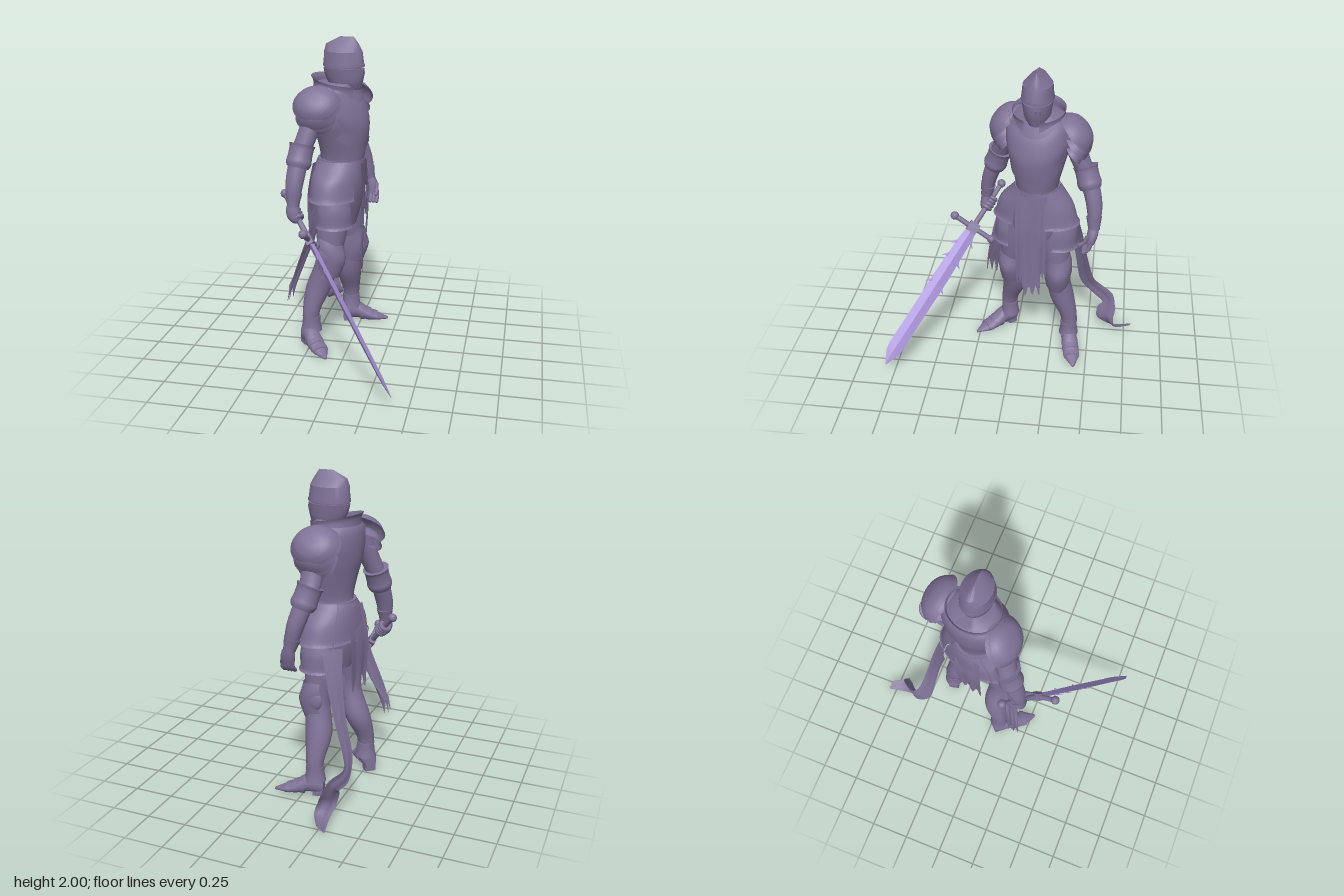
import * as THREE from 'three';
import { toCreasedNormals } from 'three/addons/utils/BufferGeometryUtils.js';

const armor = new THREE.MeshStandardMaterial({ color: 0x7f7297, side: THREE.DoubleSide });
armor.name = 'dull violet steel';
const bladeMat = new THREE.MeshStandardMaterial({ color: 0xa892d8, side: THREE.DoubleSide });
bladeMat.name = 'pale violet blade';

// Catmull-Rom resampling of rows of numbers
function resample(rows, n) {
  if (n < 2) return rows;
  const out = [], at = i => rows[Math.min(rows.length - 1, Math.max(0, i))];
  for (let i = 0; i < rows.length - 1; i++) {
    for (let k = 0; k < n; k++) {
      const t = k / n, [a, b, c, d] = [at(i - 1), at(i), at(i + 1), at(i + 2)];
      out.push(b.map((_, m) => 0.5 * (2 * b[m] + (c[m] - a[m]) * t + (2 * a[m] - 5 * b[m] + 4 * c[m] - d[m]) * t * t
        + (3 * b[m] - a[m] - 3 * c[m] + d[m]) * t * t * t)));
    }
  }
  out.push(at(rows.length - 1));
  return out;
}

// Surface through a grid of points
function gridMesh(name, rows, mat, crease = 0.8) {
  const pos = [], idx = [], w = rows[0].length;
  rows.forEach(r => r.forEach(p => pos.push(...p)));
  for (let i = 0; i < rows.length - 1; i++) {
    for (let j = 0; j < w - 1; j++) {
      const a = i * w + j, b = a + w;
      idx.push(a, b, a + 1, b, b + 1, a + 1);
    }
  }
  const g = new THREE.BufferGeometry();
  g.setAttribute('position', new THREE.Float32BufferAttribute(pos, 3));
  g.setIndex(idx);
  const mesh = new THREE.Mesh(toCreasedNormals(g, crease), mat);
  mesh.name = name;
  return mesh;
}

// Stacked elliptical rings; each station is [x, y, z, radiusX, radiusZ]; lift raises the rear of each ring
function loft(name, stations, { yaw = 0, arc = null, seg = 32, smooth = 4, point = 1, lift = 0, mat = armor, crease = 0.8 } = {}) {
  let st = stations[0][1] > stations[stations.length - 1][1] ? [...stations].reverse() : stations;
  st = resample(st, smooth);
  if (!arc) {
    const [lo, hi] = [st[0], st[st.length - 1]];
    st = [[lo[0], lo[1], lo[2], 0, 0], ...st, [hi[0], hi[1], hi[2], 0, 0]];
  }
  const [a0, a1] = arc || [0, Math.PI * 2], c = Math.cos(yaw), s = Math.sin(yaw);
  const rows = st.map(([x, y, z, rx, rz]) => Array.from({ length: seg + 1 }, (_, j) => {
    const t = a0 + (a1 - a0) * j / seg, sn = Math.sin(t);
    const u = rx * Math.cos(t), v = rz * Math.sign(sn) * Math.abs(sn) ** point;
    return [x + u * c - v * s, y + lift * (1 - Math.cos(t)) / 2, z + u * s + v * c];
  }));
  return gridMesh(name, rows, mat, crease);
}

// Cloth strip; each row is [x, y, z, halfX, halfY, halfZ]; torn lower edge
function ribbon(name, rows, tear = 0) {
  const n = 12, st = resample(rows, 5);
  return gridMesh(name, st.map((r, i) => Array.from({ length: n + 1 }, (_, j) => {
    const k = j / n * 2 - 1, f = i / (st.length - 1);
    const drop = tear * f ** 5 * (0.5 + 0.5 * Math.sin(j * 1.35 + 1)), fold = 0.004 * Math.sin(j * 0.9) * f;
    return [r[0] + k * r[3] + fold, r[1] + k * r[4] - drop, r[2] + k * r[5]];
  })), armor);
}

function basis(group, X, Y, origin) {
  const x = new THREE.Vector3(...X).normalize(), y = new THREE.Vector3(...Y).normalize();
  x.addScaledVector(y, -x.dot(y)).normalize();
  group.setRotationFromMatrix(new THREE.Matrix4().makeBasis(x, y, x.clone().cross(y)));
  group.position.set(...origin);
  return group;
}

function named(name, geo, mat, x, y, z) {
  const m = new THREE.Mesh(geo, mat);
  m.name = name;
  m.position.set(x, y, z);
  return m;
}

// Pauldron: a flat sloping cap with a flared lip and smaller lames beneath its outer edge
function pauldron(pos, side) {
  const g = new THREE.Group();
  g.name = 'pauldron';
  const cap = (name, y, z, rx, rz, h) => loft(name, [[0, y + h, z, 0, 0], [0, y + h * 0.92, z, rx * 0.4, rz * 0.4],
    [0, y + h * 0.62, z, rx * 0.74, rz * 0.74], [0, y + h * 0.2, z, rx * 0.94, rz * 0.94], [0, y, z, rx, rz], [0, y - 0.016, z, rx * 1.08, rz * 1.08]], { arc: [0, Math.PI * 2] });
  g.add(cap('shoulderPlate', 0, 0, 0.142, 0.128, 0.068), cap('shoulderLame', -0.05, 0.06 * side, 0.125, 0.095, 0.085), cap('armLame', -0.09, 0.09 * side, 0.105, 0.075, 0.08));
  g.position.set(...pos);
  g.rotation.x = 0.85 * side;
  return g;
}

// Armoured foot pointing along f
function foot(origin, f) {
  const g = new THREE.Group();
  g.name = 'sabaton';
  g.add(loft('shoe', [[0, 0, 0.06, 0.035, 0.05], [0, 0.04, 0.075, 0.05, 0.062], [0, 0.1, 0.075, 0.052, 0.06], [0, 0.17, 0.045, 0.056, 0.043],
    [0, 0.24, 0.024, 0.045, 0.024], [0, 0.315, 0.008, 0.008, 0.008]]));
  g.add(named('heel', new THREE.BoxGeometry(0.07, 0.06, 0.06), armor, 0, 0.035, 0.03));
  for (const y of [0.12, 0.165, 0.21]) {
    const h = (0.315 - y) * 0.31;
    g.add(loft('footLame', [[0, y, h, 0.056, h], [0, y + 0.03, h * 0.85, 0.052, h * 0.85]], { smooth: 1 }));
  }
  return basis(g, [-f[1], 0, f[0]], [f[0], 0, f[1]], origin);
}

export function createModel() {
  const model = new THREE.Group();
  model.name = 'knight';
  const add = (...m) => model.add(...m);
  const yaw = 0.24, hy = 0.06;

  // Helmet: keeled skull, recessed eye slit, pointed visor
  add(loft('helmetSkull', [[-0.07, 1.825, -0.135, 0.13, 0.098], [-0.073, 1.91, -0.135, 0.122, 0.09], [-0.078, 1.955, -0.135, 0.105, 0.048],
    [-0.05, 2, -0.135, 0.045, 0.003]], { yaw: hy, point: 1.1, smooth: 1, crease: 0.5 }));
  add(loft('eyeSlit', [[-0.075, 1.79, -0.135, 0.117, 0.086], [-0.075, 1.84, -0.135, 0.117, 0.088]], { yaw: hy, smooth: 1 }));
  add(loft('visor', [[-0.05, 1.675, -0.135, 0.085, 0.055], [-0.06, 1.715, -0.135, 0.108, 0.078], [-0.065, 1.76, -0.135, 0.124, 0.087], [-0.07, 1.808, -0.135, 0.13, 0.094]], { yaw: hy, point: 1.12 }));
  add(loft('helmetBrow', [[-0.07, 1.82, -0.135, 0.133, 0.1], [-0.07, 1.836, -0.135, 0.132, 0.099]], { yaw: hy, point: 1.1, smooth: 1 }));
  for (const k of [-2, -1, 0, 1, 2]) {
    const rib = named('visorRib', new THREE.CylinderGeometry(0.006, 0.004, 0.1, 8), armor, 0.05 - 0.007 * k * k, 1.74, -0.135 + k * 0.022);
    rib.rotation.z = -0.2;
    add(rib);
  }

  // Torso: cuirass, V-edged breastplate, flared collar, belt and pelvis
  add(loft('cuirass', [[-0.09, 1.18, -0.14, 0.14, 0.13], [-0.08, 1.26, -0.14, 0.143, 0.135], [-0.085, 1.38, -0.14, 0.16, 0.165], [-0.095, 1.48, -0.14, 0.172, 0.192],
    [-0.11, 1.58, -0.145, 0.165, 0.21], [-0.125, 1.67, -0.145, 0.145, 0.19], [-0.12, 1.72, -0.14, 0.12, 0.12]], { yaw, seg: 48 }));
  add(loft('breastplate', [[-0.08, 1.31, -0.14, 0.156, 0.168], [-0.082, 1.38, -0.14, 0.168, 0.178], [-0.09, 1.47, -0.14, 0.178, 0.198],
    [-0.105, 1.57, -0.14, 0.166, 0.2], [-0.11, 1.63, -0.14, 0.14, 0.185]], { yaw, arc: [-1.4, 1.4], lift: 0.2 }));
  add(loft('collar', [[-0.11, 1.61, -0.14, 0.15, 0.175], [-0.115, 1.67, -0.14, 0.145, 0.16], [-0.12, 1.7, -0.14, 0.155, 0.165]], { yaw, arc: [0.3, 5.98], lift: 0.065 }));
  add(loft('belt', [[-0.09, 1.19, -0.14, 0.154, 0.146], [-0.09, 1.235, -0.14, 0.152, 0.142]], { yaw, smooth: 1 }));
  add(loft('pelvis', [[-0.1, 0.8, -0.135, 0.11, 0.1], [-0.1, 0.95, -0.135, 0.14, 0.2], [-0.09, 1.1, -0.135, 0.145, 0.18], [-0.09, 1.21, -0.14, 0.14, 0.135]], { yaw }));

  // Hip plates in two tiers on each side and one behind
  for (const [a, b] of [[0.4, 2.4], [-2.4, -0.4], [2.45, 3.85]]) {
    add(loft('upperTasset', [[-0.1, 0.99, -0.135, 0.174, 0.288], [-0.1, 1.01, -0.135, 0.168, 0.272], [-0.1, 1.11, -0.135, 0.163, 0.24],
      [-0.095, 1.19, -0.14, 0.158, 0.175], [-0.09, 1.23, -0.14, 0.15, 0.145]], { yaw, arc: [a, b] }));
  }
  for (const s of [1, -1]) {
    const z = s > 0 ? 0.005 : -0.28, x = s > 0 ? -0.105 : -0.07;
    add(loft('lowerTasset', [[x, 0.82, z, 0.128, 0.136], [x, 0.84, z, 0.12, 0.126], [x, 0.93, z, 0.12, 0.122], [x, 1.01, z, 0.1, 0.1]],
      { yaw, arc: s > 0 ? [0, 2.6] : [-2.6, 0] }));
  }

  // Right arm and left arm, each guard set square to its forearm
  add(pauldron([-0.195, 1.618, 0.078], 1), pauldron([-0.08, 1.612, -0.38], -1));
  const arms = [
    [[-0.19, 1.6, 0.04], [-0.25, 1.42, 0.1], [-0.285, 1.31, 0.135], [-0.31, 1.14, 0.195], [-0.315, 1.0, 0.22]],
    [[-0.07, 1.6, -0.34], [-0.07, 1.42, -0.405], [-0.06, 1.33, -0.45], [-0.01, 1.16, -0.5], [0.03, 1.0, -0.508]]];
  for (const [sh, up, el, fo, wr] of arms) {
    add(loft('arm', [[...sh, 0.07, 0.07], [...up, 0.066, 0.062], [...el, 0.062, 0.06], [...fo, 0.056, 0.051], [...wr, 0.036, 0.034]]));
    const along = el.map((v, i) => v - fo[i]);
    const guard = loft('elbowGuard', [[0, -0.085, 0, 0.068, 0.066], [0, -0.055, 0, 0.08, 0.076], [0, -0.02, 0, 0.076, 0.072], [0, 0.035, 0, 0.076, 0.072], [0, 0.058, 0, 0.083, 0.079]], { smooth: 3 });
    add(basis(guard, [1, 0, 0], along, el));
    add(basis(loft('gauntletCuff', [[0, 0, 0, 0.038, 0.037], [0, 0.03, 0, 0.042, 0.04], [0, 0.08, 0, 0.052, 0.049]], { smooth: 2 }), [1, 0, 0], fo.map((v, i) => v - wr[i]), wr));
  }
  add(loft('leftPalm', [[0.03, 1.02, -0.508, 0.032, 0.034], [0.045, 0.96, -0.5, 0.045, 0.034], [0.05, 0.91, -0.49, 0.042, 0.028]]));
  for (let i = 0; i < 5; i++) {
    const x = i === 4 ? 0.085 : 0.018 + i * 0.022, y = i === 4 ? 0.975 : 0.92, z = i === 4 ? -0.47 : -0.495;
    const path = new THREE.CatmullRomCurve3([[x, y, z], [x + 0.004, y - 0.04, z + 0.015], [x + 0.004, y - 0.065, z + 0.045]].map(p => new THREE.Vector3(...p)));
    add(named('leftFinger', new THREE.TubeGeometry(path, 8, 0.013, 8), armor, 0, 0, 0));
    add(named('fingertip', new THREE.SphereGeometry(0.013, 8, 6), armor, x + 0.004, y - 0.065, z + 0.045));
  }

  // Legs: thigh, pointed knee guard with side wing, greave, ankle cuff
  const legs = [
    [[-0.11, 1.0, -0.03], [-0.12, 0.8, 0.0], [-0.14, 0.6, 0.022], [-0.205, 0.4, 0.015], [-0.25, 0.14, 0.055], 1],
    [[-0.08, 1.0, -0.24], [-0.07, 0.8, -0.265], [-0.055, 0.6, -0.285], [-0.075, 0.4, -0.318], [-0.07, 0.14, -0.37], -1]];
  for (const [hip, th, kn, ca, an, s] of legs) {
    const turn = s > 0 ? 0.3 : -0.1;
    add(loft('leg', [[...hip, 0.1, 0.1], [...th, 0.1, 0.095], [...kn, 0.078, 0.075], [...ca, 0.084, 0.08], [an[0], 0.23, an[2], 0.056, 0.054], [an[0], 0.09, an[2], 0.05, 0.05]]));
    add(loft('kneeGuard', [[kn[0] - 0.01, 0.48, kn[2], 0.088, 0.076], [kn[0], 0.535, kn[2], 0.1, 0.085], [kn[0], 0.61, kn[2], 0.122, 0.09],
      [kn[0], 0.67, kn[2], 0.105, 0.09], [kn[0], 0.72, kn[2] - 0.01 * s, 0.095, 0.084]], { point: 1.15, yaw: turn, smooth: 2, arc: [-1.9, 1.9], lift: 0.05 }));
    const wing = named('kneeWing', new THREE.SphereGeometry(0.055, 20, 12), armor, kn[0] - 0.01, 0.63, kn[2] + s * 0.075);
    wing.scale.set(0.9, 1.1, 0.35);
    add(wing);
    add(loft('ankleCuff', [[an[0], 0.1, an[2], 0.07, 0.065], [an[0], 0.15, an[2], 0.059, 0.056], [an[0], 0.2, an[2], 0.058, 0.055]], { smooth: 2 }));
  }
  add(foot([-0.3, 0, 0.025], [0.6, 0.75]), foot([-0.125, 0, -0.36], [1, -0.2]));

  // Cloth: front tabard with two strips, rear cloth, torn hip cloth, trailing sash
  add(ribbon('tabard', [[0.062, 1.21, -0.11, 0, 0, 0.045], [0.07, 1.0, -0.11, 0.01, 0, 0.055], [0.06, 0.75, -0.115, 0.01, 0, 0.06], [0.055, 0.55, -0.12, 0.01, 0, 0.058]], 0.08));
  for (const [z, y] of [[-0.045, 0.62], [-0.19, 0.66]]) {
    add(ribbon('tabardStrip', [[0.062, 1.22, z, 0.01, 0, 0.022], [0.078, 0.95, z, 0.01, 0, 0.026], [0.058, y, z, 0.01, 0, 0.022]], 0.06));
  }
  add(ribbon('rearCloth', [[-0.24, 1.2, -0.15, 0.02, 0, -0.08], [-0.275, 0.98, -0.15, 0.02, 0, -0.095], [-0.265, 0.74, -0.14, 0.02, 0, -0.08]], 0.1));
  add(ribbon('tornHipCloth', [[-0.2, 0.95, 0.09, 0.02, 0, -0.04], [-0.22, 0.8, 0.115, 0.02, 0, -0.05], [-0.28, 0.62, 0.155, 0.02, 0, -0.05], [-0.35, 0.47, 0.19, 0.01, 0, -0.045]], 0.11));
  add(ribbon('trailingSash', [[-0.18, 0.98, -0.36, 0.05, 0, -0.04], [-0.21, 0.8, -0.4, 0.035, 0, -0.04], [-0.26, 0.58, -0.435, 0.02, 0, -0.042], [-0.325, 0.37, -0.475, 0.015, 0.02, -0.045],
    [-0.345, 0.275, -0.55, 0.01, 0.045, -0.025], [-0.3, 0.235, -0.625, 0.02, 0.045, -0.035], [-0.27, 0.165, -0.62, 0.04, 0.01, -0.06], [-0.25, 0.1, -0.615, 0.04, 0.025, -0.055],
    [-0.24, 0.045, -0.68, 0.045, 0.02, -0.01], [-0.28, 0.035, -0.795, 0.03, 0.015, 0.005]]));

  // Sword held in the right fist: local y runs from pommel to tip
  const sword = new THREE.Group();
  sword.name = 'sword';
  sword.add(named('pommel', new THREE.SphereGeometry(0.028, 16, 12), armor, 0, 0, 0));
  sword.add(named('grip', new THREE.CylinderGeometry(0.018, 0.016, 0.34, 12), armor, 0, 0.17, 0));
  const guard = named('crossguard', new THREE.CylinderGeometry(0.017, 0.017, 0.28, 12), armor, 0, 0.35, 0);
  guard.rotation.z = Math.PI / 2;
  sword.add(guard, named('guardBlock', new THREE.BoxGeometry(0.07, 0.07, 0.045), armor, 0, 0.35, 0));
  for (const s of [-1, 1]) sword.add(named('guardKnob', new THREE.SphereGeometry(0.028, 14, 10), armor, s * 0.145, 0.35, 0));
  sword.add(loft('blade', [[0, 0.37, 0, 0.034, 0.017], [0, 0.45, 0, 0.043, 0.017], [0, 0.75, 0, 0.053, 0.016], [0, 1.1, 0, 0.05, 0.014],
    [0, 1.28, 0, 0.052, 0.012], [0, 1.33, 0, 0.044, 0.01], [0.006, 1.418, 0, 0.002, 0.002]], { seg: 4, smooth: 1, mat: bladeMat, crease: 0.3 }));
  for (const [y, s] of [[0.46, 1], [0.62, 1], [0.82, 1], [0.5, -1], [0.6, -1], [0.8, -1]]) {
    const thorn = named('thorn', new THREE.ConeGeometry(0.014, 0.055, 6), bladeMat, s * 0.058, y, 0);
    thorn.rotation.z = -s * 0.9;
    thorn.scale.z = 0.5;
    sword.add(thorn);
  }
  for (let i = 0; i < 4; i++) {
    const finger = named('rightFinger', new THREE.TorusGeometry(0.029, 0.014, 8, 18), armor, 0, 0.115 + i * 0.024, 0);
    finger.rotation.x = Math.PI / 2;
    sword.add(finger);
  }
  add(basis(sword, [0.03, -0.52, -0.85], [0.79, -0.96, 0.67], [-0.39, 1.05, 0.13]));
  add(loft('rightHand', [[-0.315, 1.02, 0.215, 0.034, 0.034], [-0.315, 0.97, 0.222, 0.045, 0.036], [-0.305, 0.92, 0.225, 0.04, 0.034], [-0.295, 0.895, 0.225, 0.02, 0.02]]));
  return model;
}
